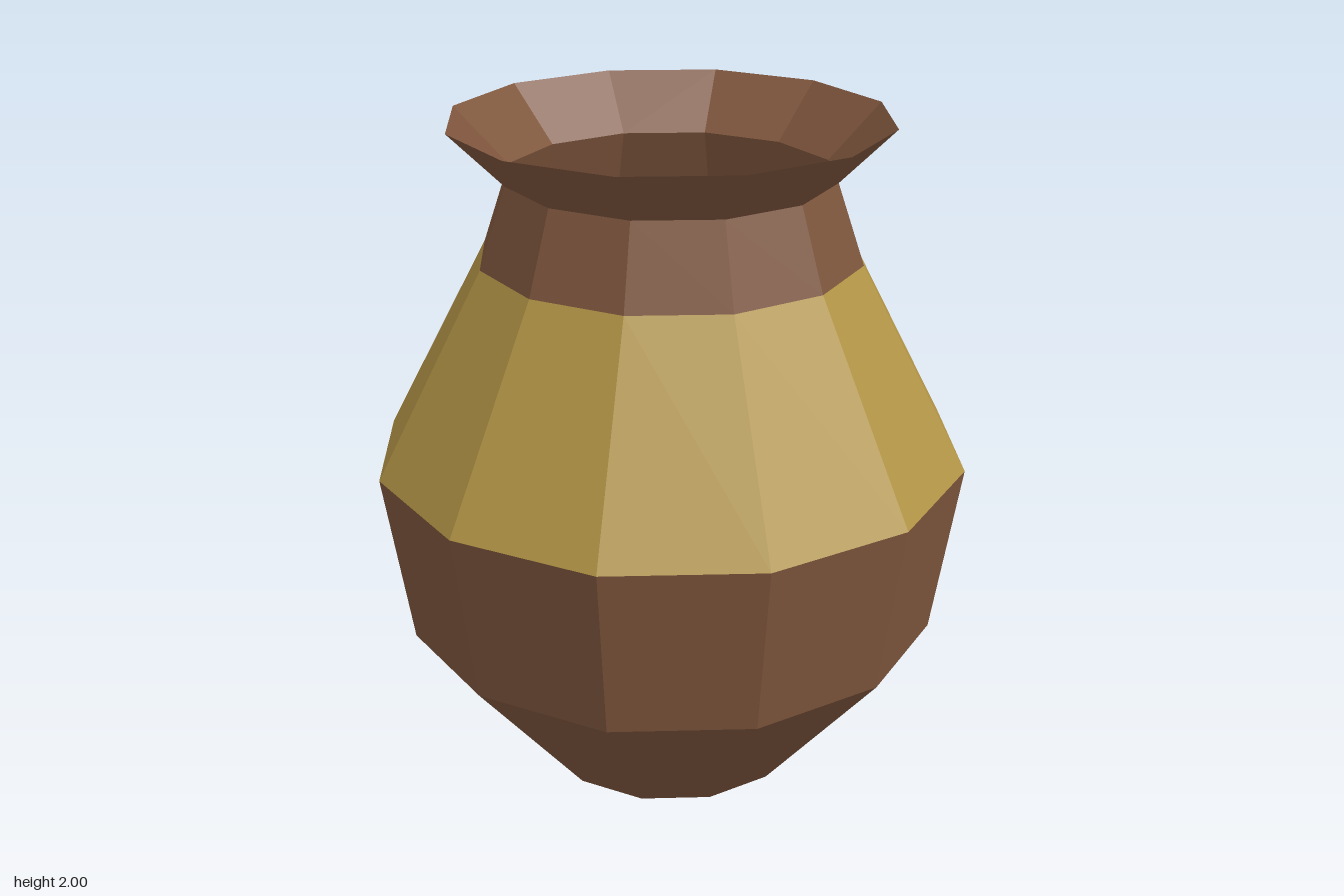
import * as THREE from 'three';

const SIDES = 12;

export function createModel() {
  const pot = new THREE.Group();
  pot.name = 'pot';

  // open thin shell, so both sides show
  const makeMaterial = (name, color) => {
    const m = new THREE.MeshStandardMaterial({ color, flatShading: true, side: THREE.DoubleSide });
    m.name = name;
    return m;
  };
  const clay = makeMaterial('brown clay', 0x7f563d);
  const glaze = makeMaterial('ochre glaze', 0xb39547);

  // each band is a faceted ring through [radius, height] points
  const addBand = (name, material, profile) => {
    const points = profile.map(([r, y]) => new THREE.Vector2(r, y));
    const mesh = new THREE.Mesh(new THREE.LatheGeometry(points, SIDES), material);
    mesh.name = name;
    pot.add(mesh);
  };

  addBand('lowerBody', clay, [[0.4, 0], [0.8, 0.48], [0.88, 1.0]]);
  addBand('shoulder', glaze, [[0.88, 1.0], [0.56, 1.605]]);
  addBand('neck', clay, [[0.56, 1.605], [0.48, 1.84]]);
  addBand('flaredRim', clay, [[0.48, 1.84], [0.64, 2.0]]);

  return pot;
}
